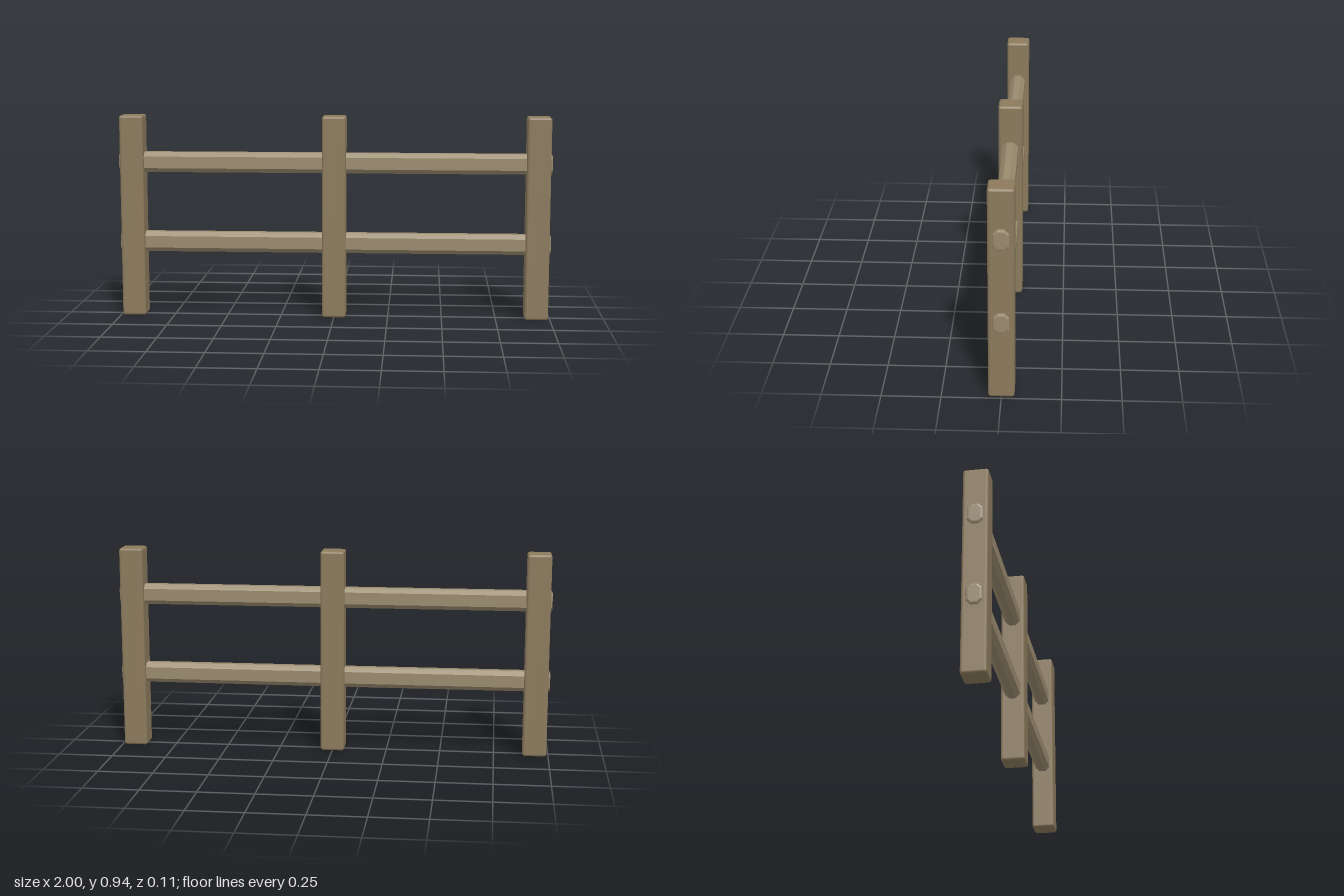
import * as THREE from 'three';
import { RoundedBoxGeometry } from 'three/addons/geometries/RoundedBoxGeometry.js';

const postWood = new THREE.MeshStandardMaterial({ color: 0x8b7a5c });
const railWood = new THREE.MeshStandardMaterial({ color: 0x998a6e, flatShading: true });

// Square post with softened edges, standing on the ground
function makePost(x) {
  const post = new THREE.Mesh(new RoundedBoxGeometry(0.11, 0.938, 0.11, 2, 0.012), postWood);
  post.position.set(x, 0.469, 0);
  return post;
}

// Long bar with a chamfered section and bevelled ends, running along x
function makeRail(y) {
  const bevel = 0.01, length = 2;
  const w = 0.035 - bevel, h = 0.047 - bevel, c = 0.014;
  const section = new THREE.Shape([
    [w, -h + c], [w, h - c], [w - c, h], [-w + c, h],
    [-w, h - c], [-w, -h + c], [-w + c, -h], [w - c, -h],
  ].map(([px, py]) => new THREE.Vector2(px, py)));
  const geometry = new THREE.ExtrudeGeometry(section, {
    depth: length - 2 * bevel,
    bevelEnabled: true, bevelThickness: bevel, bevelSize: bevel, bevelSegments: 2,
  });
  geometry.translate(0, 0, -length / 2 + bevel);
  geometry.rotateY(Math.PI / 2);
  const rail = new THREE.Mesh(geometry, railWood);
  rail.position.y = y;
  return rail;
}

export function createModel() {
  const fence = new THREE.Group();
  fence.name = 'fence';

  const posts = { rightPost: -0.937, middlePost: 0, leftPost: 0.937 };
  for (const [name, x] of Object.entries(posts)) {
    const post = makePost(x);
    post.name = name;
    fence.add(post);
  }

  const rails = { lowerRail: 0.347, upperRail: 0.72 };
  for (const [name, y] of Object.entries(rails)) {
    const rail = makeRail(y);
    rail.name = name;
    fence.add(rail);
  }
  return fence;
}
